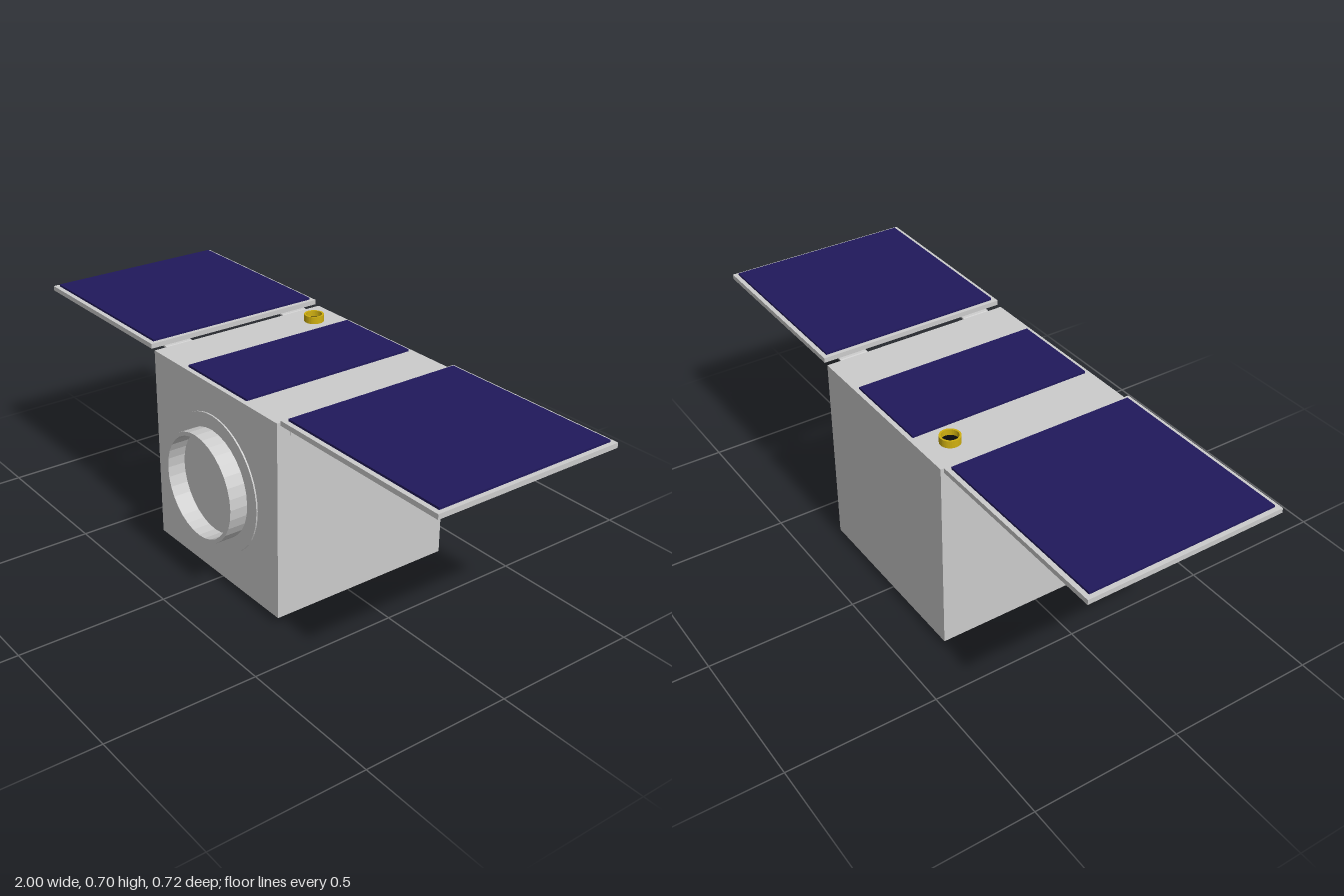
import * as THREE from 'three';

const paint = (color) => new THREE.MeshStandardMaterial({ color, flatShading: true });
const grey = paint(0xcccccc), navy = paint(0x20195c), gold = paint(0xd0b010), black = paint(0x0a0a0a);

const BACK = -0.36, FRONT = 0.294, TOP = 0.681, BASE = 0.024, HALF = 0.328;

export function createModel() {
  const model = new THREE.Group();
  const add = (name, geometry, material) => {
    const mesh = new THREE.Mesh(geometry, material);
    mesh.name = name;
    model.add(mesh);
    return mesh;
  };
  // Box given by its limits on each axis
  const box = (name, [x0, x1], [y0, y1], [z0, z1], material = grey) =>
    add(name, new THREE.BoxGeometry(x1 - x0, y1 - y0, z1 - z0), material)
      .position.set((x0 + x1) / 2, (y0 + y1) / 2, (z0 + z1) / 2);
  // Ring with a rectangular section, standing on y = 0
  const tube = (inner, outer, height) => new THREE.LatheGeometry([
    [inner, 0], [outer, 0], [outer, height], [inner, height], [inner, 0],
  ].map(([r, y]) => new THREE.Vector2(r, y)), 32);

  // Body and roof cells
  box('body', [-HALF, HALF], [BASE, TOP], [BACK, FRONT]);
  box('roofSolarCells', [-0.155, 0.155], [TOP, 0.688], [-0.345, 0.278], navy);

  // Bracket profile: flat on the body side, bending out under the wing
  const bracket = new THREE.Shape();
  bracket.moveTo(0.327, 0.63);
  bracket.lineTo(0.331, 0.63);
  bracket.lineTo(0.331, 0.667);
  bracket.quadraticCurveTo(0.332, 0.672, 0.338, 0.674);
  bracket.lineTo(0.37, 0.678);
  bracket.lineTo(0.37, 0.682);
  bracket.lineTo(0.336, 0.68);
  bracket.lineTo(0.327, 0.676);
  bracket.closePath();
  const bracketGeometry = new THREE.ExtrudeGeometry(bracket, { depth: 0.097, bevelEnabled: false, curveSegments: 4 });

  // Wings, their cells and their hinges on both sides
  for (const [side, s] of [['left', 1], ['right', -1]]) {
    const span = (a, b) => (s > 0 ? [a, b] : [-b, -a]);
    box(side + 'Wing', span(0.345, 1), [TOP, 0.697], [BACK, FRONT]);
    box(side + 'WingSolarCells', span(0.36, 0.985), [0.697, 0.704], [-0.345, 0.278], navy);
    for (const z of [0.15, -0.31]) {
      const hinge = add(side + 'Hinge', bracketGeometry, grey);
      // A half turn mirrors the symmetric bracket
      hinge.rotation.y = s > 0 ? 0 : Math.PI;
      hinge.position.z = s > 0 ? z : z + 0.097;
    }
  }

  // Lens collar on the front
  const flange = add('lensFlange', new THREE.CylinderGeometry(0.228, 0.228, 0.005, 48), grey);
  flange.rotation.x = Math.PI / 2;
  flange.position.set(0, 0.352, FRONT + 0.0025);
  const collar = add('lensCollar', tube(0.167, 0.18, 0.066), grey);
  collar.rotation.x = Math.PI / 2;
  collar.position.set(0, 0.352, FRONT);

  // Round sockets on the roof and floor
  const socket = (name, x, z, y, inner, outer, up) => {
    const group = new THREE.Group();
    group.name = name;
    const rim = new THREE.Mesh(tube(inner, outer, 0.024), gold);
    rim.name = name + 'Rim';
    const core = new THREE.Mesh(new THREE.CylinderGeometry(inner, inner, 0.005, 32), black);
    core.name = name + 'Core';
    core.position.y = 0.0025;
    group.add(rim, core);
    group.position.set(x, y, z);
    if (!up) group.rotation.x = Math.PI;
    model.add(group);
  };
  socket('roofSocket', -0.23, -0.265, TOP, 0.027, 0.033, true);
  socket('floorSocket', -0.23, -0.261, BASE, 0.041, 0.049, false);

  // Two floor frames, each with four open cells
  const frame = new THREE.Shape([[-0.129, 0], [0.129, 0], [0.129, 0.263], [-0.129, 0.263]]
    .map(([x, z]) => new THREE.Vector2(x, z)));
  for (const x of [-0.119, 0.005]) {
    for (const z of [0.01, 0.1365]) {
      frame.holes.push(new THREE.Path([[x, z], [x, z + 0.1165], [x + 0.114, z + 0.1165], [x + 0.114, z]]
        .map(([a, b]) => new THREE.Vector2(a, b))));
    }
  }
  const frameGeometry = new THREE.ExtrudeGeometry(frame, { depth: 0.007, bevelEnabled: false });
  for (const x of [-0.131, 0.131]) {
    const mesh = add('floorFrame', frameGeometry, grey);
    mesh.rotation.x = Math.PI / 2;
    mesh.position.set(x, BASE, 0);
  }
  return model;
}
